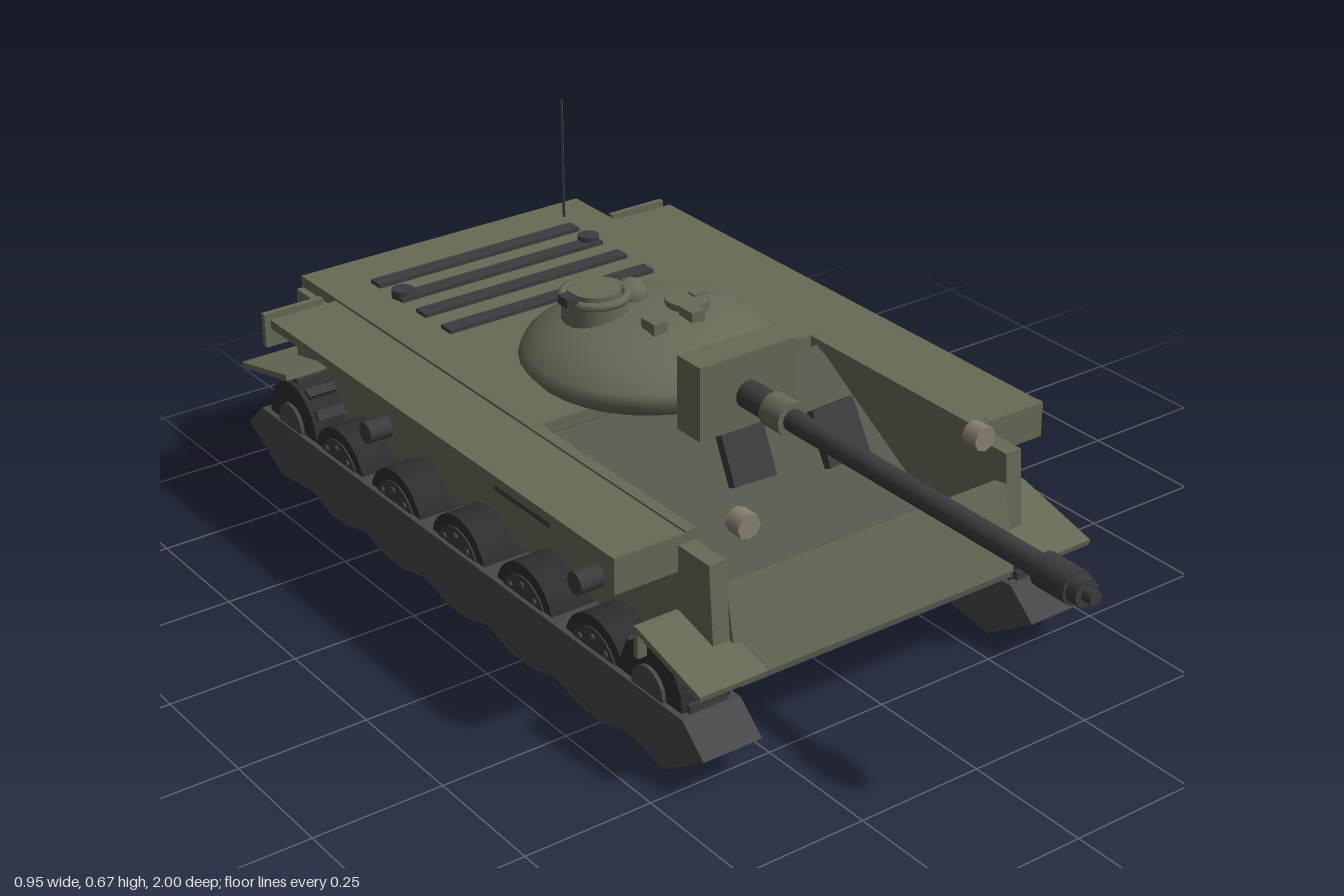
import * as THREE from 'three';

const mat = (color) => new THREE.MeshStandardMaterial({ color, side: THREE.DoubleSide });

export function createModel() {
  const root = new THREE.Group();
  const olive = mat(0x666a56), shade = mat(0x53574a), dark = mat(0x3c3c3e), rubber = mat(0x2e2e30);
  const track = mat(0x48484a), lampMat = mat(0x8a8272);

  const add = (name, geo, m, x = 0, y = 0, z = 0, rx = 0, ry = 0, rz = 0) => {
    const mesh = new THREE.Mesh(geo, m);
    mesh.name = name;
    mesh.position.set(x, y, z);
    mesh.rotation.set(rx, ry, rz);
    root.add(mesh);
    return mesh;
  };
  const box = (name, m, w, h, d, x, y, z, rx = 0, ry = 0, rz = 0) =>
    add(name, new THREE.BoxGeometry(w, h, d), m, x, y, z, rx, ry, rz);
  // cylinder along a chosen axis
  const cyl = (name, m, r, len, axis, x, y, z, n = 20, r2 = r) =>
    add(name, new THREE.CylinderGeometry(r, r2, len, n), m, x, y, z,
      axis === 'z' ? Math.PI / 2 : 0, 0, axis === 'x' ? Math.PI / 2 : 0);
  // side outline given as [z, y] points, extruded along x and centred there
  const sideExtrude = (name, m, pts, width, x) => {
    const shape = new THREE.Shape(pts.map(([z, y]) => new THREE.Vector2(-z, y)));
    const geo = new THREE.ExtrudeGeometry(shape, { depth: width, bevelEnabled: false });
    geo.translate(0, 0, -width / 2).rotateY(Math.PI / 2);
    return add(name, geo, m, x);
  };
  // thin plate between two [z, y] points
  const plate = (name, m, width, t, [z0, y0], [z1, y1], x = 0) =>
    box(name, m, width, t, Math.hypot(z1 - z0, y1 - y0), x, (y0 + y1) / 2, (z0 + z1) / 2,
      -Math.atan2(y1 - y0, z1 - z0));

  // hull: open underneath, sloping front panel inside the side walls
  box('deck', olive, 0.66, 0.024, 0.82, 0, 0.397, -0.505);
  plate('glacis', shade, 0.62, 0.015, [-0.08, 0.39], [0.405, 0.098]);
  plate('frontPlate', olive, 0.62, 0.03, [0.475, 0.16], [0.443, 0.325]);
  box('frontLip', shade, 0.61, 0.01, 0.02, 0, 0.16, 0.482);
  plate('rearPlate', olive, 0.66, 0.02, [-0.93, 0.16], [-0.905, 0.39]);

  const wheelZ = [0.22, 0, -0.22, -0.44, -0.65];
  // track outline with a rippled underside
  const outline = [[0.49, 0.135], [0.55, 0.083], [0.435, 0.008]];
  wheelZ.forEach((z, i) => {
    const prev = i ? wheelZ[i - 1] : 0.435;
    outline.push([(prev + z) / 2, 0.026], [z + 0.03, 0.006], [z - 0.03, 0.006]);
  });
  outline.push([-0.75, 0.026], [-0.875, 0.012], [-1.0, 0.08], [-0.94, 0.135]);

  for (const s of [1, -1]) {
    sideExtrude('sideWall', olive, [[0.472, 0.16], [0.455, 0.386], [-0.91, 0.386], [-0.935, 0.16]], 0.035, s * 0.3275);
    box('deckEdge', olive, 0.022, 0.022, 0.47, s * 0.319, 0.397, 0.135);

    // fender shelf with end caps
    box('fender', olive, 0.145, 0.018, 1.15, s * 0.4025, 0.395, -0.205);
    box('fenderCap', olive, 0.13, 0.07, 0.012, s * 0.41, 0.37, 0.363);
    box('fenderCap', olive, 0.13, 0.07, 0.012, s * 0.41, 0.37, -0.81);
    plate('frontMudguard', olive, 0.14, 0.012, [0.55, 0.208], [0.37, 0.255], s * 0.365);
    plate('rearMudguard', olive, 0.14, 0.012, [-0.81, 0.255], [-0.995, 0.212], s * 0.365);
    box('mudguardBracket', olive, 0.09, 0.06, 0.012, s * 0.39, 0.23, 0.37);
    box('stowageBox', olive, 0.035, 0.045, 0.11, s * 0.362, 0.328, -0.55);
    box('sideTool', dark, 0.015, 0.014, 0.18, s * 0.35, 0.262, -0.09);

    // running gear
    sideExtrude('track', track, outline, 0.122, s * 0.366);
    for (const z of wheelZ) {
      cyl('roadWheel', rubber, 0.093, 0.1, 'x', s * 0.366, 0.107, z, 24);
      cyl('roadWheelDisc', dark, 0.07, 0.106, 'x', s * 0.366, 0.107, z, 24);
      for (let i = 0; i < 3; i++) {
        const a = Math.PI * (0.25 + i * 0.25);
        cyl('wheelBolt', track, 0.006, 0.114, 'x', s * 0.366, 0.107 + 0.055 * Math.sin(a), z + 0.055 * Math.cos(a), 6);
      }
    }
    for (const z of [0.385, -0.83]) {
      cyl('sprocket', rubber, 0.09, 0.1, 'x', s * 0.366, 0.14, z, 18);
      cyl('sprocketHub', track, 0.045, 0.115, 'x', s * 0.366, 0.14, z, 16);
      for (let i = 0; i < 12; i++) {
        const a = (i / 12) * Math.PI * 2;
        box('sprocketTooth', dark, 0.08, 0.02, 0.016, s * 0.366, 0.14 + 0.09 * Math.sin(a), z + 0.09 * Math.cos(a), -a);
      }
    }
    for (const z of [0.13, -0.58]) cyl('returnRoller', dark, 0.022, 0.06, 'x', s * 0.365, 0.217, z, 14);

    // lamps and rear fittings
    cyl('headlight', lampMat, 0.024, 0.035, 'z', s * 0.26, 0.43, 0.435, 8);
    cyl('exhaust', dark, 0.023, 0.16, 'x', s * 0.18, 0.3, -0.968, 16);
    box('exhaustMount', olive, 0.03, 0.02, 0.05, s * 0.18, 0.3, -0.94);
    box('rearLamp', dark, 0.018, 0.075, 0.02, s * 0.29, 0.338, -0.965);
    cyl('deckCap', dark, 0.022, 0.02, 'y', s * 0.22, 0.416, -0.71, 14);
  }
  box('rearBox', olive, 0.085, 0.055, 0.045, -0.058, 0.245, -0.96);

  // engine grilles and antenna
  for (const z of [-0.785, -0.7, -0.615, -0.525]) box('grille', dark, 0.475, 0.012, 0.034, 0, 0.411, z);
  const aerial = new THREE.LineCurve3(new THREE.Vector3(0.255, 0.405, -0.85), new THREE.Vector3(0.24, 0.678, -0.826));
  add('antenna', new THREE.TubeGeometry(aerial, 1, 0.003, 6), dark);

  // driver hatches and bow gun
  box('visionHatch', dark, 0.095, 0.13, 0.02, 0.007, 0.342, 0.09, -0.5, 0, -0.04);
  box('driverHatch', dark, 0.095, 0.11, 0.02, 0.195, 0.33, 0.13, -0.5, 0, 0.03);
  add('bowGunMount', new THREE.SphereGeometry(0.022, 14, 10), dark, 0.17, 0.32, 0.035);
  cyl('bowGun', dark, 0.008, 0.1, 'z', 0.17, 0.315, 0.085, 8);

  // turret: flattened dome
  const dome = [[0, 0.396], [0.19, 0.396], [0.225, 0.408], [0.245, 0.432], [0.236, 0.453], [0.205, 0.478],
    [0.16, 0.5], [0.1, 0.515], [0.04, 0.52], [0, 0.521]].map(([r, y]) => new THREE.Vector2(r, y));
  add('turret', new THREE.LatheGeometry(dome, 32), olive, 0, 0, -0.19);
  box('mantlet', olive, 0.214, 0.146, 0.068, 0, 0.468, 0.076);

  // gun
  cyl('barrel', dark, 0.021, 0.8, 'z', 0, 0.46, 0.5);
  cyl('barrelCollar', dark, 0.027, 0.08, 'z', 0, 0.46, 0.145);
  cyl('barrelSleeve', olive, 0.033, 0.055, 'z', 0, 0.46, 0.21);
  cyl('muzzleBrake', dark, 0.031, 0.075, 'z', 0, 0.46, 0.92);
  cyl('muzzleCollar', dark, 0.025, 0.03, 'z', 0, 0.46, 0.965);
  cyl('muzzleTip', dark, 0.013, 0.03, 'z', 0, 0.46, 0.985, 14);

  // turret roof fittings
  cyl('cupola', olive, 0.062, 0.045, 'y', -0.085, 0.525, -0.245, 24);
  add('cupolaRing', new THREE.TorusGeometry(0.06, 0.009, 8, 28), olive, -0.085, 0.548, -0.245, Math.PI / 2);
  cyl('cupolaLid', olive, 0.05, 0.012, 'y', -0.085, 0.556, -0.245, 24);
  box('cupolaSight', dark, 0.025, 0.018, 0.03, -0.153, 0.56, -0.23);
  add('roofVent', new THREE.SphereGeometry(0.033, 16, 10), olive, 0, 0.522, -0.25);
  cyl('loaderHatch', olive, 0.042, 0.024, 'y', 0.065, 0.52, -0.16, 20);
  box('loaderHinge', olive, 0.03, 0.012, 0.02, 0.09, 0.53, -0.16);
  for (const x of [-0.045, 0.04]) box('periscope', olive, 0.03, 0.03, 0.04, x, 0.52, -0.112);

  return root;
}
